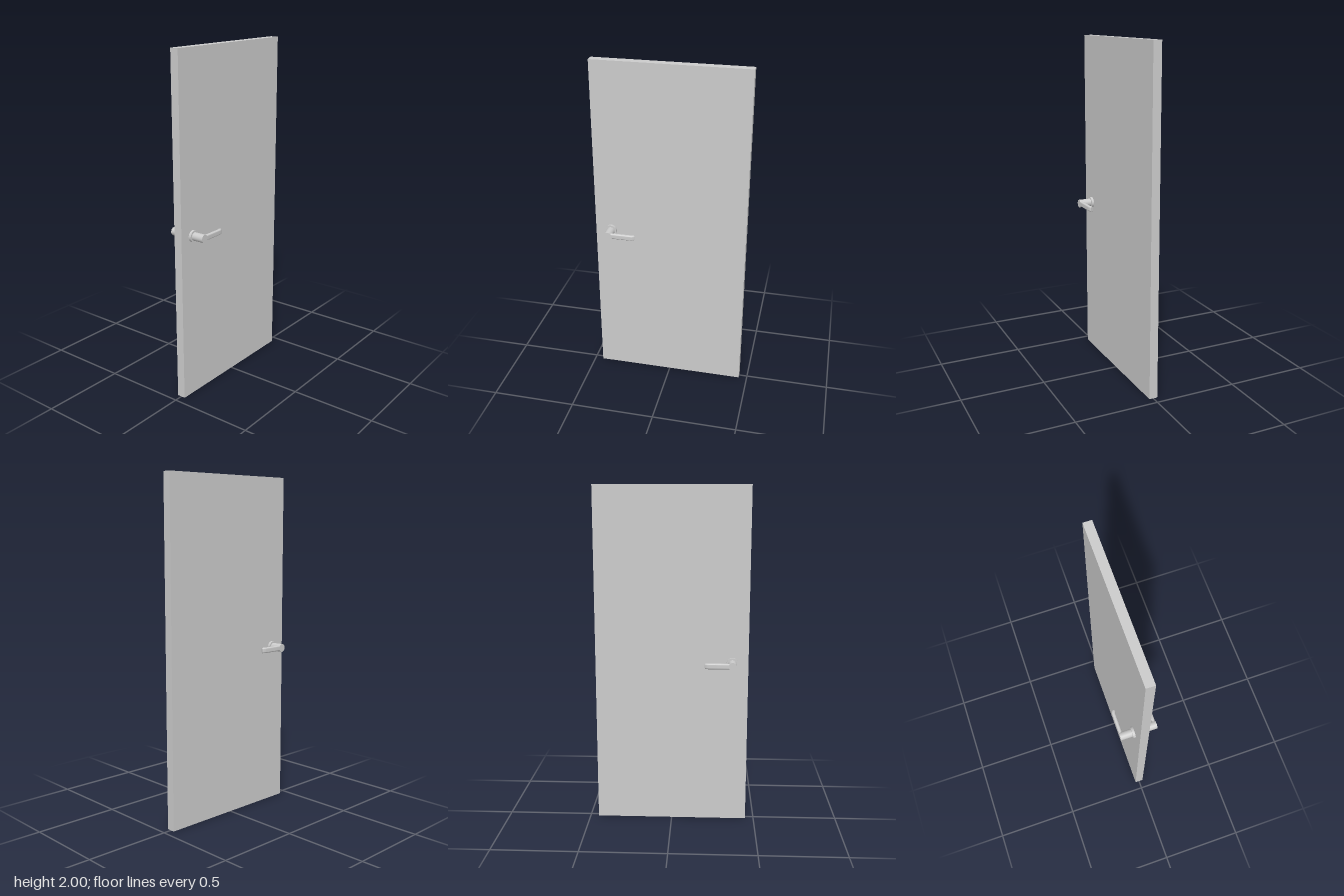
import * as THREE from 'three';
import { toCreasedNormals } from 'three/addons/utils/BufferGeometryUtils.js';

const material = new THREE.MeshStandardMaterial({ color: 0xcccccc });

function part(name, geometry) {
  const mesh = new THREE.Mesh(geometry, material);
  mesh.name = name;
  return mesh;
}

// Cylinder along z between two depths
function disc(name, radius, z0, z1) {
  const geometry = new THREE.CylinderGeometry(radius, radius, z1 - z0, 40);
  geometry.rotateX(Math.PI / 2).translate(0, 0, (z0 + z1) / 2);
  return part(name, geometry);
}

// Rounded bar swept through stations [x, z, angle of the path, scale]
function leverGeometry(stations, halfDepth, halfHeight, sides = 24) {
  const positions = [], indices = [];
  for (const [x, z, angle, scale] of stations) {
    for (let i = 0; i < sides; i++) {
      const t = (i / sides) * Math.PI * 2;
      const c = Math.cos(t), s = Math.sin(t);
      const d = Math.sign(c) * Math.abs(c) ** 0.75 * halfDepth * scale;
      const h = Math.sign(s) * Math.abs(s) ** 0.75 * halfHeight * scale;
      positions.push(x - Math.sin(angle) * d, h, z + Math.cos(angle) * d);
    }
  }
  for (let k = 0; k < stations.length - 1; k++) {
    for (let i = 0; i < sides; i++) {
      const a = k * sides + i, b = k * sides + ((i + 1) % sides);
      indices.push(a, a + sides, b, b, a + sides, b + sides);
    }
  }
  // End caps
  const last = (stations.length - 1) * sides;
  for (let i = 1; i < sides - 1; i++) {
    indices.push(0, i, i + 1, last, last + i + 1, last + i);
  }
  const geometry = new THREE.BufferGeometry();
  geometry.setAttribute('position', new THREE.Float32BufferAttribute(positions, 3));
  geometry.setIndex(indices);
  return toCreasedNormals(geometry, 0.6);
}

// One side's handle, facing +z, with its spindle axis at the origin
function createHandle(name) {
  const handle = new THREE.Group();
  handle.name = name;
  handle.add(disc('rosette', 0.034, 0.02, 0.04));
  handle.add(disc('neck', 0.024, 0.035, 0.112));
  const bend = -0.45;
  handle.add(part('lever', leverGeometry([
    [0, 0.101, 0, 1],
    [0.138, 0.101, 0, 1],
    [0.143, 0.1, bend / 2, 1],
    [0.155, 0.0945, bend, 1],
    [0.158, 0.093, bend, 0.88],
  ], 0.011, 0.0165)));
  return handle;
}

export function createModel() {
  const model = new THREE.Group();
  model.name = 'door';

  // Door leaf
  const leaf = part('doorLeaf', new THREE.BoxGeometry(0.9, 2, 0.05));
  leaf.position.y = 1;
  model.add(leaf);

  // Matching handles on both faces
  for (const [name, turn] of [['frontHandle', 0], ['backHandle', Math.PI]]) {
    const handle = createHandle(name);
    handle.position.set(-0.356, 0.975, 0);
    handle.rotation.x = turn;
    model.add(handle);
  }
  return model;
}
